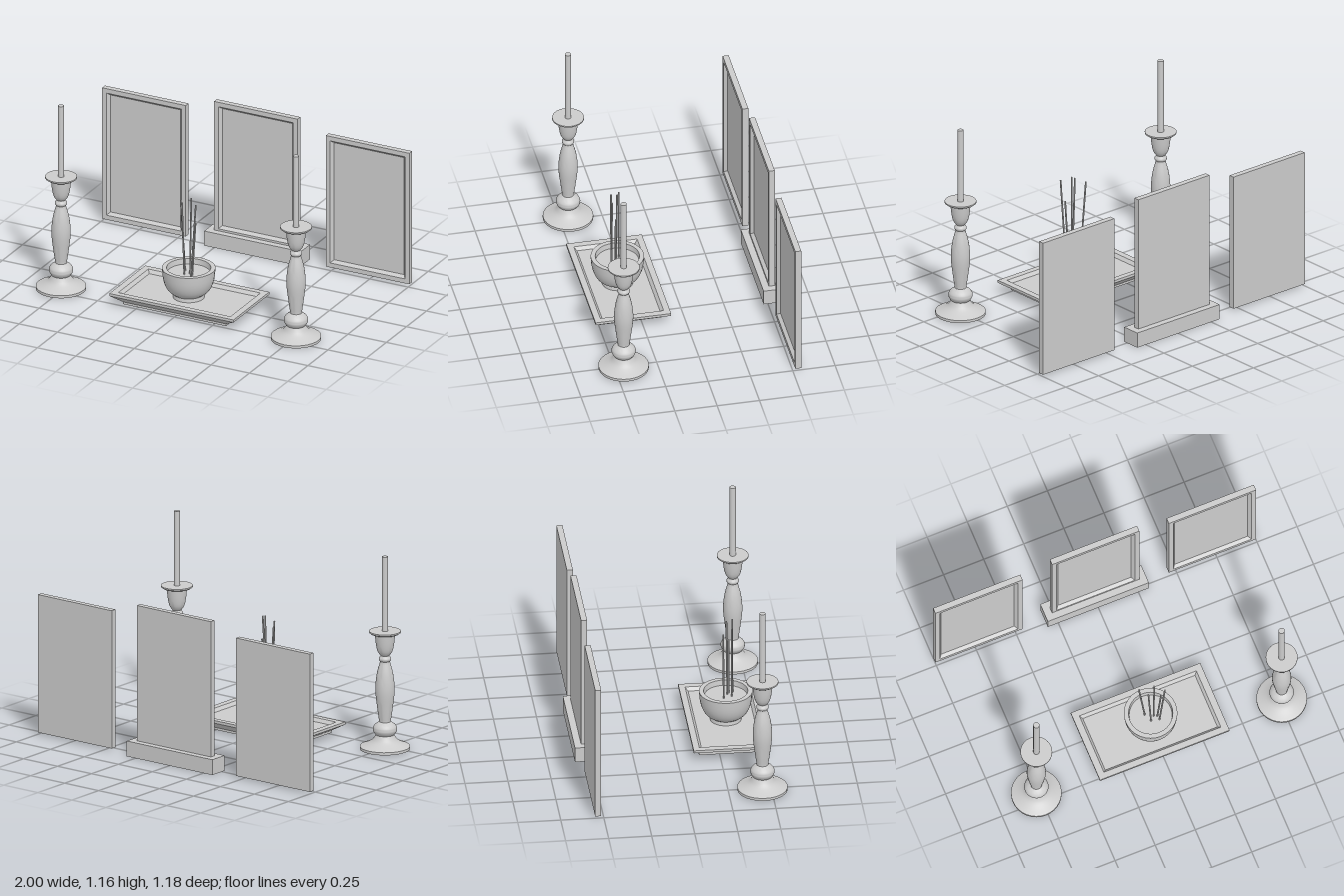
import * as THREE from 'three';
import { toCreasedNormals } from 'three/addons/utils/BufferGeometryUtils.js';

const material = new THREE.MeshStandardMaterial({ color: 0xcccccc });

function addMesh(parent, name, geometry, x = 0, y = 0, z = 0) {
  const mesh = new THREE.Mesh(geometry, material);
  mesh.name = name;
  mesh.position.set(x, y, z);
  parent.add(mesh);
  return mesh;
}

// Solid from stacked rectangles, each [half width, half depth, height]
function rectLoft(sections) {
  const loops = sections.map(([w, d, y]) => [[-w, y, d], [w, y, d], [w, y, -d], [-w, y, -d]]);
  const points = [];
  const quad = (a, b, c, d) => points.push(...a, ...b, ...c, ...a, ...c, ...d);
  const first = loops[0], last = loops[loops.length - 1];
  quad(first[3], first[2], first[1], first[0]);
  for (let i = 0; i < loops.length - 1; i++) {
    const a = loops[i], b = loops[i + 1];
    for (let k = 0; k < 4; k++) {
      const n = (k + 1) % 4;
      quad(a[k], a[n], b[n], b[k]);
    }
  }
  quad(...last);
  const geometry = new THREE.BufferGeometry();
  geometry.setAttribute('position', new THREE.Float32BufferAttribute(points, 3));
  geometry.computeVertexNormals();
  return geometry;
}

// Turned shape from [radius, height] pairs, listed bottom to top
function turned(profile, segments = 32) {
  const lathe = new THREE.LatheGeometry(profile.map(([r, y]) => new THREE.Vector2(r, y)), segments);
  return toCreasedNormals(lathe, 0.6);
}

// Smooth run of profile points
function smooth(points, count) {
  const curve = new THREE.SplineCurve(points.map(([r, y]) => new THREE.Vector2(r, y)));
  return curve.getPoints(count).map((p) => [p.x, p.y]);
}

// Picture frame standing upright with a sunken panel
function pictureFrame(parent, name, x, bottom) {
  const w = 0.272, h = 0.414;
  const geometry = rectLoft([
    [w, h, 0], [w, h, 0.035], [w - 0.028, h - 0.028, 0.035], [w - 0.044, h - 0.044, 0.015],
  ]);
  geometry.rotateX(Math.PI / 2);
  addMesh(parent, name, geometry, x, bottom + h, -0.55);
}

function candlestick(name, x) {
  const group = new THREE.Group();
  group.name = name;
  group.position.set(x, 0, 0.448);
  addMesh(group, 'holder', turned([
    [0, 0.005], [0.146, 0.005], [0.146, 0.021],
    ...smooth([[0.142, 0.023], [0.11, 0.036], [0.078, 0.055], [0.062, 0.075], [0.054, 0.09]], 10), // foot
    ...smooth([[0.056, 0.092], [0.068, 0.11], [0.07, 0.13], [0.058, 0.15], [0.034, 0.168]], 10), // knop
    ...smooth([[0.034, 0.172], [0.045, 0.25], [0.056, 0.355], [0.048, 0.45], [0.028, 0.528]], 16), // stem
    ...smooth([[0.028, 0.53], [0.035, 0.538], [0.035, 0.55], [0.027, 0.56]], 6), // collar
    ...smooth([[0.026, 0.565], [0.043, 0.59], [0.053, 0.635], [0.059, 0.695]], 8), // cup
    [0.083, 0.697], [0.092, 0.704], [0.092, 0.712], [0, 0.712], // drip plate
  ]));
  addMesh(group, 'candle', new THREE.CylinderGeometry(0.018, 0.018, 0.447, 16), 0, 0.9345, 0);
  return group;
}

export function createModel() {
  const model = new THREE.Group();

  // Row of three frames, the middle one on a plinth
  pictureFrame(model, 'leftFrame', 0.728, 0.012);
  pictureFrame(model, 'rightFrame', -0.728, 0.012);
  pictureFrame(model, 'centreFrame', 0, 0.077);
  addMesh(model, 'framePlinth', new THREE.BoxGeometry(0.63, 0.092, 0.115), 0, 0.046, -0.5325);

  // Candlesticks
  model.add(candlestick('leftCandlestick', 0.765), candlestick('rightCandlestick', -0.765));

  // Tray with sloping sides and a sunken floor
  addMesh(model, 'tray', rectLoft([
    [0.335, 0.185, 0.012], [0.335, 0.185, 0.026], [0.404, 0.223, 0.064],
    [0.404, 0.223, 0.08], [0.365, 0.187, 0.08], [0.35, 0.171, 0.06],
  ]), 0, 0, 0.313);

  // Bowl with its filling slightly below the rim
  addMesh(model, 'bowl', turned([
    [0, 0.055], [0.092, 0.055], [0.088, 0.083],
    ...smooth([[0.09, 0.083], [0.118, 0.105], [0.138, 0.14], [0.15, 0.185], [0.155, 0.243]], 10),
    [0.128, 0.243], [0.124, 0.21], [0, 0.21],
  ]), 0, 0, 0.321);

  // Thin sticks, each from a foot in the bowl to a tip
  const sticks = [
    [-0.03, 0.306, -0.064, 0.645, 0.299],
    [-0.011, 0.355, -0.027, 0.66, 0.353],
    [0.014, 0.332, 0.02, 0.688, 0.327],
    [0.037, 0.364, 0.07, 0.67, 0.367],
    [0.033, 0.341, 0.056, 0.54, 0.343],
  ];
  for (const [x, z, tipX, tipY, tipZ] of sticks) {
    const foot = new THREE.Vector3(x, 0.2, z), tip = new THREE.Vector3(tipX, tipY, tipZ);
    const axis = tip.clone().sub(foot);
    const stick = addMesh(model, 'stick', new THREE.CylinderGeometry(0.005, 0.005, axis.length(), 8));
    stick.position.copy(foot).add(tip).multiplyScalar(0.5);
    stick.quaternion.setFromUnitVectors(new THREE.Vector3(0, 1, 0), axis.normalize());
  }
  return model;
}
